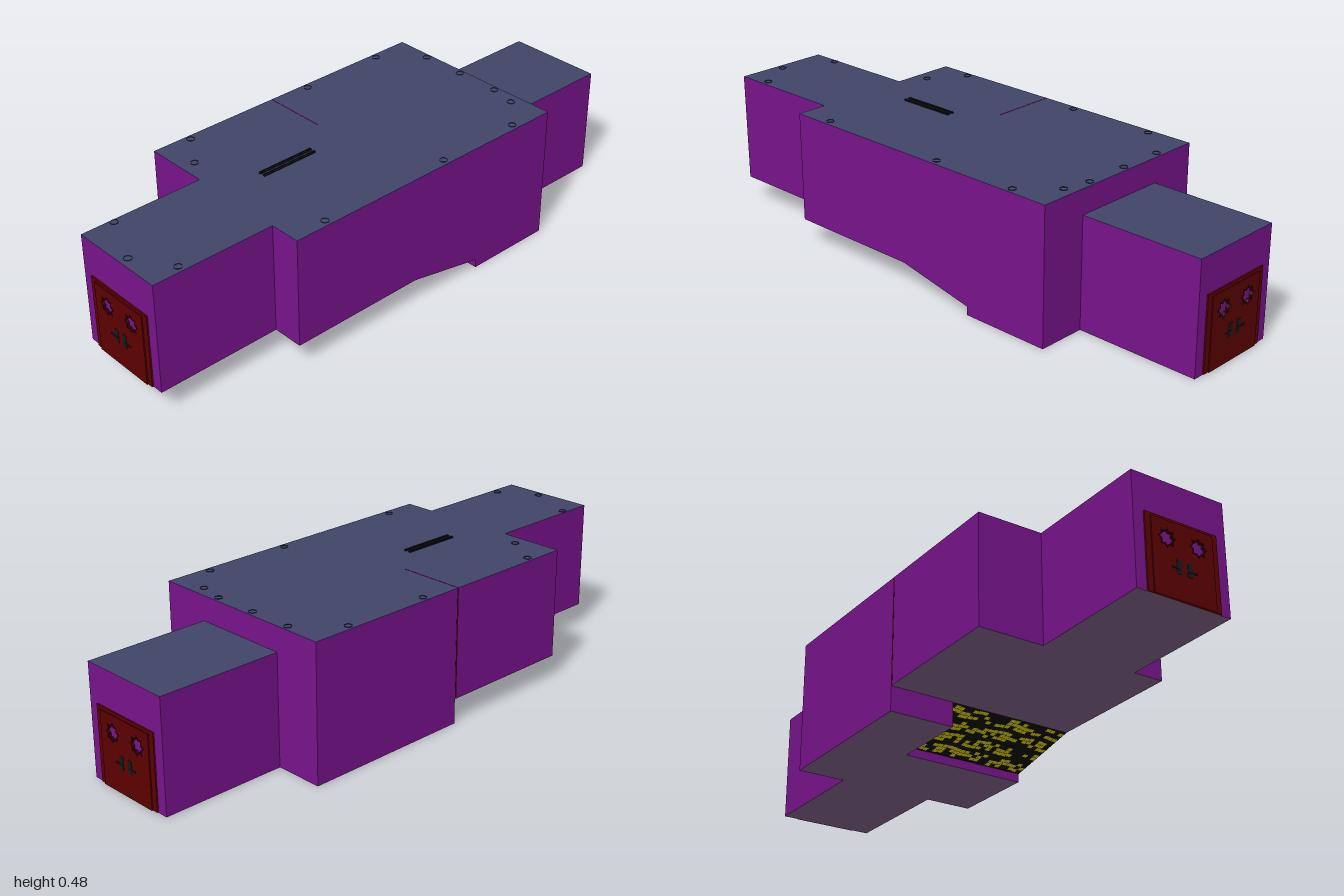
import * as THREE from 'three';
import { mergeGeometries } from 'three/addons/utils/BufferGeometryUtils.js';

const mat = (name, color, side = THREE.FrontSide) => {
  const m = new THREE.MeshStandardMaterial({ color, side });
  m.name = name;
  return m;
};

export function createModel() {
  const wall = mat('purple wall', 0x78138c);
  const roof = mat('slate roof', 0x404468);
  const floor = mat('dull violet floor', 0x816289);
  const black = mat('ramp black', 0x0c0c08, THREE.DoubleSide);
  const yellow = mat('ramp yellow', 0xe6d800);
  const red = mat('door red', 0x5c0000);
  const darkRed = mat('window trim red', 0x340000);
  const metal = mat('dark metal', 0x171b1b);
  const rivetMat = mat('rivet navy', 0x20233a, THREE.DoubleSide);

  const model = new THREE.Group();
  model.name = 'corridorBuilding';

  function add(parent, name, geometry, material, x = 0, y = 0, z = 0) {
    const m = new THREE.Mesh(geometry, material);
    m.name = name;
    m.position.set(x, y, z);
    parent.add(m);
    return m;
  }

  // Extrude a (z, y) side profile from x0 to x1; colour faces by direction
  function block(name, profile, x0, x1) {
    const shape = new THREE.Shape(profile.map(([z, y]) => new THREE.Vector2(z, y)));
    const g = new THREE.ExtrudeGeometry(shape, { depth: x1 - x0, bevelEnabled: false });
    g.rotateY(-Math.PI / 2).translate(x1, 0, 0);
    g.clearGroups();
    const n = g.attributes.normal;
    for (let i = 0; i < n.count; i += 3) {
      const ny = n.getY(i);
      g.addGroup(i, 3, ny > 0.9 ? 1 : ny < -0.99 ? 2 : ny < -0.5 ? 3 : 0);
    }
    add(model, name, g, [wall, roof, floor, black]);
  }

  const END = 0.988, HALL = 0.55, TOP = 0.472, LOW = 0.087, STEP = 0.03;
  const RZ0 = 0.055, RZ1 = -0.23; // ramp start and end
  const rect = (z0, z1, y0, y1) => [[z0, y0], [z1, y0], [z1, y1], [z0, y1]];

  // Rooms: hall in two strips (plain step and ramp), then the corridors
  block('hallSteppedSide', [[-HALL, 0], [RZ0, 0], [RZ0, LOW], [HALL, LOW], [HALL, TOP], [-HALL, TOP]], -0.343, -0.112);
  block('hallRampSide', [[-HALL, 0], [RZ1, 0], [RZ1, STEP], [RZ0, LOW], [HALL, LOW], [HALL, TOP], [-HALL, TOP]], -0.112, 0.343);
  block('frontCorridor', rect(HALL, END, LOW, TOP), -0.112, 0.234);
  block('backCorridor', rect(-END, -HALL, 0, 0.386), -0.172, 0.172);

  // Yellow flecks in four wavy bands on the underside of the ramp
  let seed = 7;
  const rnd = () => (seed = (seed * 16807) % 2147483647) / 2147483647;
  const rampLen = Math.hypot(RZ0 - RZ1, LOW - STEP);
  const flecks = [];
  for (let band = 0; band < 4; band++) {
    for (let row = 0; row < 3; row++) {
      for (let x = -0.216; x < 0.218; x += 0.018) {
        if (rnd() > 0.6) continue;
        const y = -rampLen / 2 + (band + 0.5) * rampLen / 4 + (row - 1) * 0.018 + Math.sin(x * 50) * 0.004;
        flecks.push(new THREE.PlaneGeometry(0.017, 0.016).translate(x, y, 0.001));
      }
    }
  }
  const fleckMesh = add(model, 'rampFlecks', mergeGeometries(flecks), yellow, 0.115, (LOW + STEP) / 2, (RZ0 + RZ1) / 2);
  fleckMesh.rotation.x = Math.atan2(RZ0 - RZ1, LOW - STEP);

  // Partition edge showing through the roof and the side wall
  add(model, 'partitionTop', new THREE.BoxGeometry(0.23, 0.002, 0.004), wall, -0.227, TOP, 0.06);
  add(model, 'partitionEdge', new THREE.BoxGeometry(0.002, 0.38, 0.006), darkRed, -0.3425, 0.28, 0.058);

  // Open-topped roof rivets
  const rivet = new THREE.CylinderGeometry(0.013, 0.013, 0.003, 12, 1, true);
  const spots = [[-0.098, 0.88], [0.21, 0.88], [0.08, 0.96], [-0.2, 0.5],
    [-0.2, -0.53], [-0.04, -0.53], [0.12, -0.53], [0.215, -0.51]];
  for (const x of [-0.322, 0.32]) for (const z of [0.42, -0.08, -0.4]) spots.push([x, z]);
  for (const [x, z] of spots) add(model, 'roofRivet', rivet, rivetMat, x, TOP + 0.0005, z);

  // Pair of open-topped slots along the roof
  const slot = new THREE.CylinderGeometry(Math.SQRT1_2, Math.SQRT1_2, 0.006, 4, 1, true);
  slot.rotateY(Math.PI / 4).scale(0.008, 1, 0.21);
  for (const x of [-0.011, 0.008]) add(model, 'roofSlot', slot, black, x, TOP + 0.002, 0.287);

  // Eight-pointed star outline
  function star(path, cx, cy, r) {
    for (let i = 0; i < 16; i++) {
      const a = i * Math.PI / 8 + Math.PI / 2, q = i % 2 ? r * 0.72 : r;
      path[i ? 'lineTo' : 'moveTo'](cx + q * Math.cos(a), cy + q * Math.sin(a));
    }
    path.closePath();
    return path;
  }
  const extrude = (shape, depth) => new THREE.ExtrudeGeometry(shape, { depth, bevelEnabled: false });

  // Double door, centred on x with its sill at y = 0, facing +z
  function doubleDoor(name) {
    const door = new THREE.Group();
    door.name = name;
    const H = 0.259;
    const frame = new THREE.Shape();
    frame.moveTo(-0.135, 0).lineTo(-0.115, 0).lineTo(-0.115, H - 0.012).lineTo(0.115, H - 0.012);
    frame.lineTo(0.115, 0).lineTo(0.135, 0).lineTo(0.135, H).lineTo(-0.135, H);
    add(door, 'doorFrame', extrude(frame, 0.005), red);
    for (const s of [-1, 1]) {
      const cx = s * 0.0585, cy = 0.191, mid = s * 0.0575;
      const leaf = new THREE.Shape();
      leaf.moveTo(mid - 0.0575, 0).lineTo(mid + 0.0575, 0).lineTo(mid + 0.0575, H - 0.01).lineTo(mid - 0.0575, H - 0.01);
      leaf.holes.push(star(new THREE.Path(), cx, cy, 0.03));
      add(door, 'doorLeaf', extrude(leaf, 0.009), red);
      const trim = star(new THREE.Shape(), cx, cy, 0.034);
      trim.holes.push(star(new THREE.Path(), cx, cy, 0.028));
      add(door, 'windowTrim', extrude(trim, 0.01), darkRed);
      add(door, 'handlePlate', new THREE.BoxGeometry(0.017, 0.046, 0.003), metal, s * 0.02, 0.106, 0.009);
      add(door, 'handleLever', new THREE.BoxGeometry(0.03, 0.005, 0.003), metal, s * 0.032, 0.101, 0.0105);
    }
    model.add(door);
    return door;
  }
  doubleDoor('frontDoor').position.set(0.061, LOW, END);
  const backDoor = doubleDoor('backDoor');
  backDoor.position.set(0, 0.002, -END);
  backDoor.rotation.y = Math.PI;

  return model;
}
